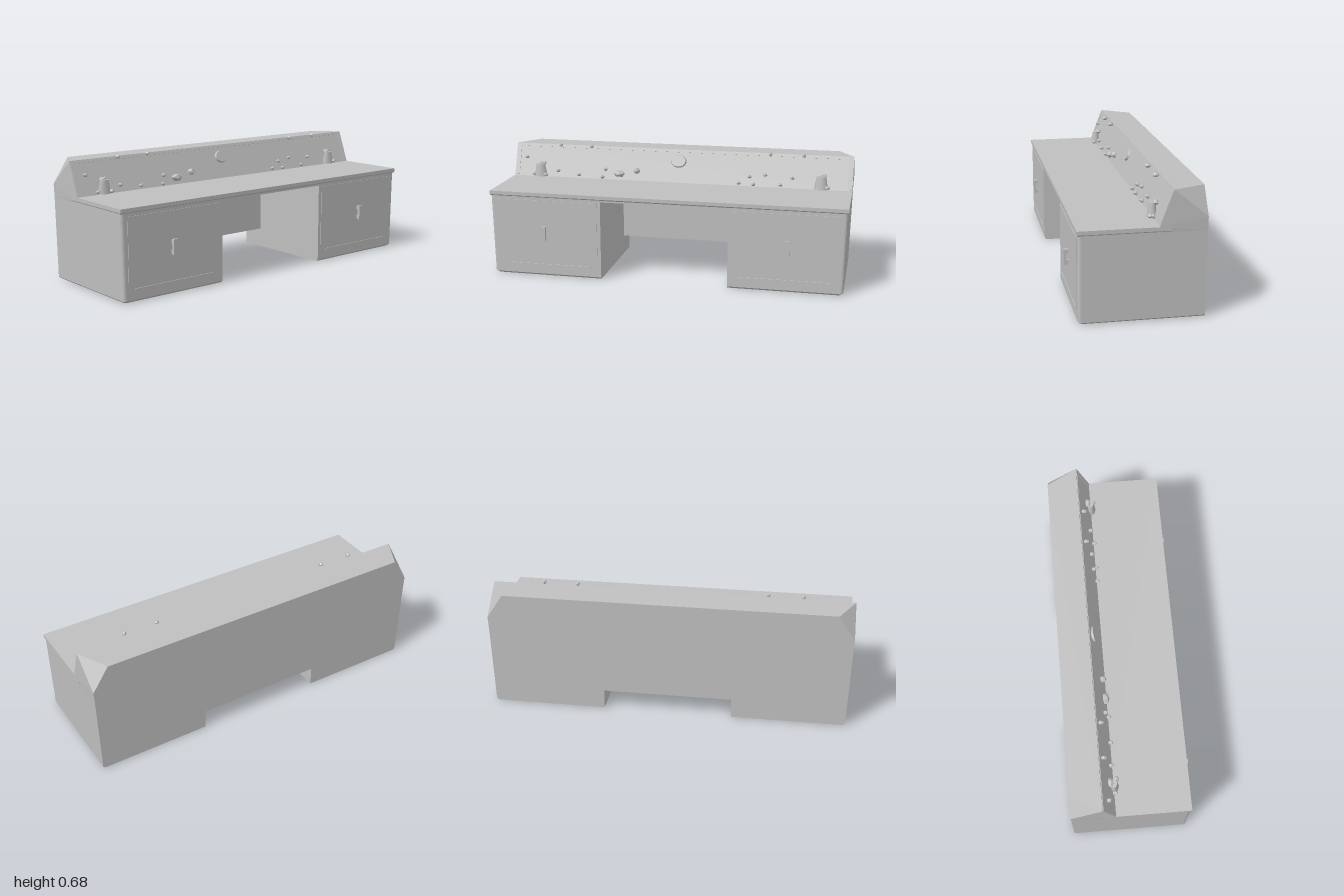
import * as THREE from 'three';
import { ConvexGeometry } from 'three/addons/geometries/ConvexGeometry.js';

const grey = new THREE.MeshStandardMaterial({ color: 0xbfbfbf });
grey.name = 'grey';

// Console face: runs from the worktop up to the ridge
const FOOT = { y: 0.483, z: -0.093 };
const RIDGE = { y: 0.667, z: -0.162 };
const TILT = -Math.atan2(FOOT.z - RIDGE.z, RIDGE.y - FOOT.y);

function add(parent, name, geometry, x = 0, y = 0, z = 0) {
  const mesh = new THREE.Mesh(geometry, grey);
  mesh.name = name;
  mesh.position.set(x, y, z);
  parent.add(mesh);
  return mesh;
}

function box(parent, name, x0, x1, y0, y1, z0, z1) {
  return add(parent, name, new THREE.BoxGeometry(x1 - x0, y1 - y0, z1 - z0),
    (x0 + x1) / 2, (y0 + y1) / 2, (z0 + z1) / 2);
}

function hull(parent, name, points) {
  return add(parent, name, new ConvexGeometry(points.map((p) => new THREE.Vector3(...p))));
}

// Pedestal with a rounded outer front edge, softened base and slightly flared side
function pedestal(parent, side) {
  const points = [];
  for (const [y, inset, outer] of [[0, 0.01, 0.985], [0.01, 0, 0.988], [0.46, 0, 0.997]]) {
    points.push([side * 0.358, y, -0.332], [side * (outer - inset), y, -0.332], [side * 0.358, y, 0.306 - inset]);
    const r = 0.016;
    for (let i = 0; i <= 4; i++) {
      const a = (i / 4) * Math.PI / 2;
      points.push([side * (outer - inset - r + r * Math.cos(a)), y, 0.306 - inset - r + r * Math.sin(a)]);
    }
  }
  hull(parent, 'pedestal', points);
}

// Door panel, lower ledge and bracket handle
function door(parent, side) {
  const group = new THREE.Group();
  group.name = 'door';
  parent.add(group);
  const cx = side * 0.668;
  box(group, 'doorPanel', cx - 0.29, cx + 0.29, 0.075, 0.44, 0.3, 0.309);
  box(group, 'doorLedge', cx - 0.25, cx + 0.25, 0.062, 0.069, 0.3, 0.31);
  const hx = side * 0.685;
  box(group, 'handleGrip', hx - 0.013, hx + 0.013, 0.21, 0.293, 0.32, 0.334);
  for (const y of [0.215, 0.27]) box(group, 'handlePost', hx - 0.01, hx + 0.01, y, y + 0.02, 0.305, 0.322);
}

// Places a shape on the sloping console face
function onSlope(parent, name, geometry, x, y, lift = 0) {
  const t = (y - FOOT.y) / (RIDGE.y - FOOT.y);
  const mesh = add(parent, name, geometry, x, y, FOOT.z + t * (RIDGE.z - FOOT.z) + lift);
  mesh.rotation.x = TILT;
  return mesh;
}

function pebble(w, h, d) {
  return new THREE.IcosahedronGeometry(1, 0).scale(w / 2, h / 2, d / 2);
}

export function createModel() {
  const desk = new THREE.Group();
  desk.name = 'consoleDesk';

  for (const side of [-1, 1]) {
    pedestal(desk, side);
    door(desk, side);
  }

  // Back panel bridging the knee space
  box(desk, 'backPanel', -0.36, 0.36, 0.11, 0.47, -0.332, -0.2);

  // Worktop with a lip that tapers away towards the back
  const top = [];
  for (const s of [-1, 1]) {
    top.push([s, 0.483, 0.312], [s, 0.463, 0.312], [s * 0.995, 0.455, 0.304],
      [s, 0.483, -0.15], [s, 0.462, -0.15], [s * 0.995, 0.455, -0.15]);
  }
  hull(desk, 'worktop', top);
  box(desk, 'frontApron', -0.36, 0.36, 0.447, 0.46, 0.28, 0.305);

  // Raised console with clipped rear corners
  const raised = [];
  for (const s of [-1, 1]) {
    raised.push([s * 0.997, 0.455, FOOT.z], [s * 0.997, 0.455, -0.332], [s, 0.525, -0.332],
      [s * 0.91, 0.661, -0.332], [s, RIDGE.y, RIDGE.z], [s, FOOT.y, FOOT.z]);
  }
  hull(desk, 'raisedConsole', raised);

  // Slim trim along the console face
  const face = Math.hypot(RIDGE.y - FOOT.y, RIDGE.z - FOOT.z);
  for (const s of [-1, 1]) {
    onSlope(desk, 'sideTrim', new THREE.BoxGeometry(0.025, face - 0.012, 0.006), s * 0.985, 0.575);
  }
  onSlope(desk, 'topTrim', new THREE.BoxGeometry(1.96, 0.012, 0.006), 0, 0.656);

  // Central dial
  const dial = new THREE.CylinderGeometry(0.042, 0.048, 0.016, 20).rotateX(Math.PI / 2).scale(1, 0.8, 1);
  onSlope(desk, 'centralDial', dial, -0.005, 0.602, 0.004);

  // Pair of large levers near the ends
  for (const x of [-0.835, 0.825]) {
    const base = new THREE.CylinderGeometry(0.026, 0.04, 0.074, 8).scale(1, 1, 0.65);
    add(desk, 'largeLever', base, x, 0.523, -0.091);
    add(desk, 'leverCap', pebble(0.055, 0.03, 0.035), x + 0.005, 0.56, -0.108);
    add(desk, 'leverFoot', pebble(0.03, 0.024, 0.03), x + 0.035, 0.498, -0.075);
  }

  // Mid-sized knobs: x, y, width, height
  for (const [x, y, w, h] of [[-0.355, 0.52, 0.075, 0.045], [-0.25, 0.54, 0.04, 0.04]]) {
    onSlope(desk, 'knob', pebble(w, h, 0.045), x, y, 0.008);
  }

  // Small buttons: x, y
  const buttons = [
    [-0.875, 0.497], [-0.73, 0.52], [-0.6, 0.503], [-0.455, 0.497], [-0.44, 0.54],
    [0.355, 0.5], [0.415, 0.537], [0.505, 0.55], [0.44, 0.497], [0.595, 0.5],
    [0.66, 0.54], [0.865, 0.497], [-0.93, 0.59],
  ];
  for (const [x, y] of buttons) {
    onSlope(desk, 'button', pebble(0.026, 0.022, 0.036), x, y, 0.008);
  }

  // Small pegs along the ridge
  for (const x of [-0.72, -0.53, 0.53, 0.72]) {
    add(desk, 'ridgePeg', pebble(0.024, 0.024, 0.036), x, 0.668, -0.134);
  }

  return desk;
}
